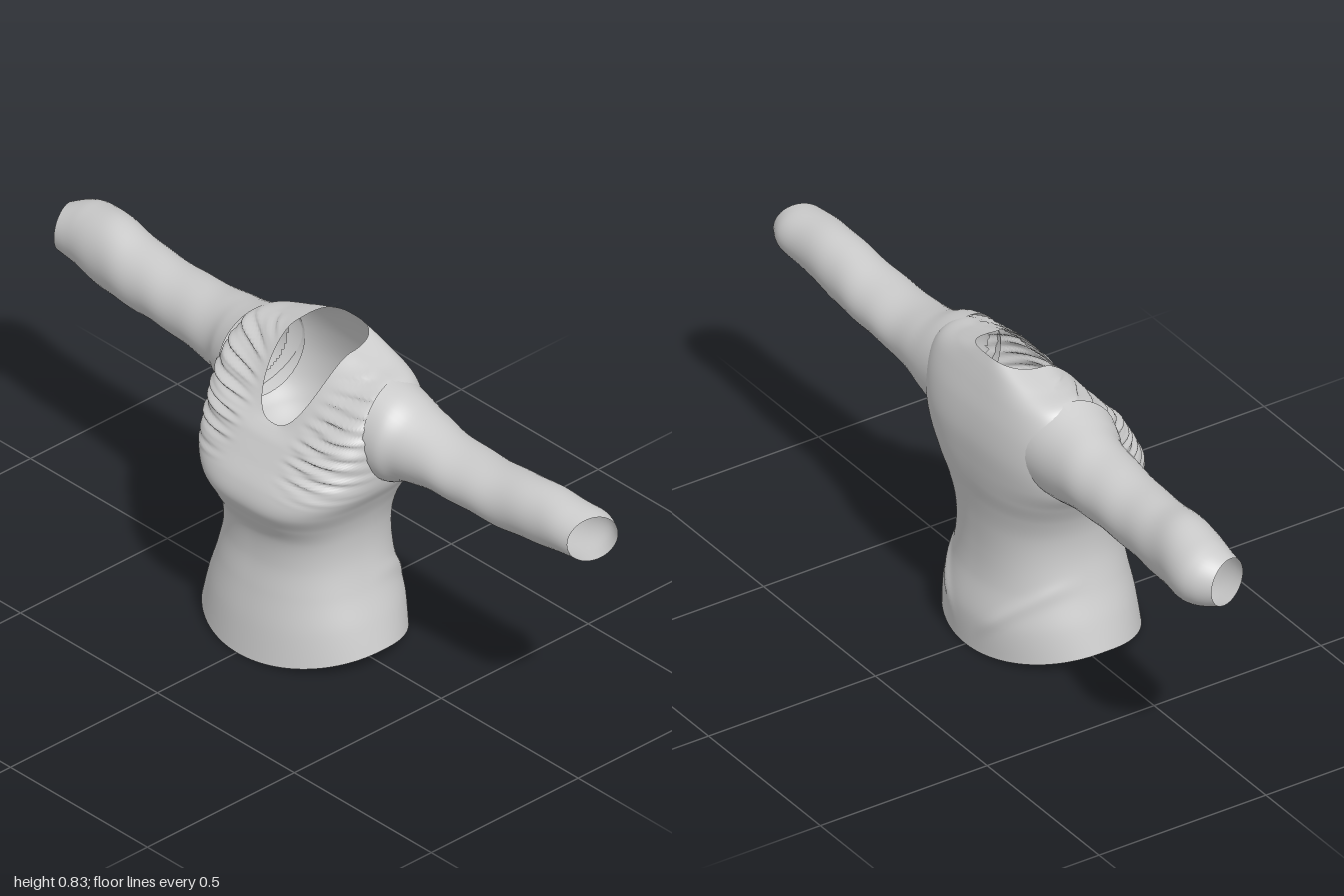
import * as THREE from 'three';

const cloth = new THREE.MeshStandardMaterial({ color: 0xcccccc, side: THREE.DoubleSide });

// Smoothly sample a table of rows at t in 0..1
function sample(rows, t) {
  const f = t * (rows.length - 1);
  const i = Math.min(Math.floor(f), rows.length - 2);
  const u = f - i;
  const at = k => rows[Math.max(0, Math.min(rows.length - 1, k))];
  return rows[i].map((b, k) => {
    const a = at(i - 1)[k], c = at(i + 1)[k], d = at(i + 2)[k];
    return b + 0.5 * u * (c - a + u * (2 * a - 5 * b + 4 * c - d + u * (3 * (b - c) + d - a)));
  });
}

// Open tube of closed rings; skip(centre) leaves a hole
function loft(name, rings, sides, point, skip = () => false) {
  const pts = [];
  for (let r = 0; r <= rings; r++)
    for (let s = 0; s < sides; s++) pts.push(point(r / rings, (s / sides) * Math.PI * 2));
  const index = [];
  const centre = new THREE.Vector3();
  for (let r = 0; r < rings; r++)
    for (let s = 0; s < sides; s++) {
      const a = r * sides + s, b = r * sides + (s + 1) % sides, c = a + sides, d = b + sides;
      centre.set(0, 0, 0);
      for (const k of [a, b, c, d]) centre.addScaledVector(pts[k], 0.25);
      if (!skip(centre)) index.push(a, c, b, b, c, d);
    }
  const geo = new THREE.BufferGeometry().setFromPoints(pts);
  geo.setIndex(index);
  geo.computeVertexNormals();
  const mesh = new THREE.Mesh(geo, cloth);
  mesh.name = name;
  return mesh;
}

const power = (v, p) => Math.sign(v) * Math.pow(Math.abs(v), p);
const smooth = THREE.MathUtils.smoothstep;

// Body rings: front y, front z, side y, side x, side z, back y, back z, squareness
const body = [
  [0.00, 0.23, 0.045, 0.287, 0.00, 0.00, -0.23, 2.0],
  [0.10, 0.215, 0.12, 0.262, 0.00, 0.10, -0.23, 2.1],
  [0.19, 0.196, 0.20, 0.232, 0.00, 0.20, -0.207, 2.2],
  [0.27, 0.181, 0.28, 0.212, 0.00, 0.28, -0.20, 2.3],
  [0.345, 0.184, 0.35, 0.210, 0.00, 0.36, -0.203, 2.4],
  [0.40, 0.208, 0.41, 0.222, -0.01, 0.43, -0.212, 2.6],
  [0.45, 0.228, 0.465, 0.246, -0.02, 0.49, -0.223, 2.8],
  [0.50, 0.216, 0.52, 0.275, -0.03, 0.55, -0.229, 2.8],
  [0.55, 0.182, 0.60, 0.285, -0.05, 0.62, -0.23, 2.8],
  [0.585, 0.157, 0.70, 0.284, -0.065, 0.69, -0.219, 2.8],
  [0.605, 0.142, 0.772, 0.255, -0.07, 0.75, -0.20, 2.8],
  [0.62, 0.125, 0.79, 0.18, -0.07, 0.80, -0.18, 2.7],
  [0.63, 0.11, 0.81, 0.10, -0.06, 0.83, -0.165, 2.6],
];

function bodyPoint(t, a) {
  const [fy, fz, sy, sx, sz, by, bz, n] = sample(body, t);
  const front = Math.sin(a) > 0;
  const e = 2 / (front ? n : n + 0.3 * smooth(t, 0.5, 0.7));
  const s = power(Math.abs(Math.sin(a)), e);
  const x = sx * power(Math.cos(a), e);
  const y = sy + ((front ? fy : by) - sy) * Math.pow(s, 1.6);
  let z = sz + ((front ? fz : bz) - sz) * s;
  const ax = Math.abs(x);
  // Gathers fanning from the armholes across the upper chest
  if (front) {
    const fade = smooth(ax, 0.07, 0.18) * smooth(y, 0.48, 0.58) * (1 - smooth(t, 0.93, 1));
    const fan = (y - 0.64) / (0.55 + 0.9 * ax);
    z += 0.006 * fade * (Math.sin(150 * fan + 12 * x) + 0.6 * Math.sin(245 * fan - 25 * ax));
  } else {
    // Slanting drag folds on the lower back
    const fold = Math.exp(-Math.pow((y - 0.02 - ax * 0.9) / 0.025, 2));
    z -= 0.007 * fold * smooth(ax, 0.03, 0.12) * (1 - smooth(ax, 0.2, 0.27));
  }
  return new THREE.Vector3(x + 0.003, y, z);
}

// Armholes are left open to the sleeves
const inArmhole = p => Math.abs(p.x) > 0.18 &&
  ((p.y - 0.655) / 0.115) ** 2 + ((p.z + 0.075) / 0.1) ** 2 < 1;

// Sleeve rings: x, top y, bottom y, back z, front z, forward slant of the ring
const leftSleeve = [
  [0.235, 0.783, 0.515, -0.198, 0.05, 0.025],
  [0.29, 0.768, 0.522, -0.19, 0.045, 0.012],
  [0.35, 0.742, 0.545, -0.178, 0.025, 0],
  [0.44, 0.718, 0.563, -0.17, 0.017, 0],
  [0.56, 0.712, 0.570, -0.167, 0.015, 0],
  [0.68, 0.724, 0.566, -0.16, 0.007, 0],
  [0.79, 0.739, 0.576, -0.154, 0.0, 0],
  [0.88, 0.737, 0.590, -0.153, 0.0, -0.008],
  [0.94, 0.733, 0.598, -0.155, -0.003, -0.016],
  [0.975, 0.728, 0.602, -0.137, -0.008, -0.024],
];
const rightSleeve = [
  [-0.235, 0.783, 0.515, -0.198, 0.05, -0.025],
  [-0.29, 0.766, 0.522, -0.192, 0.035, -0.012],
  [-0.35, 0.75, 0.540, -0.19, 0.015, 0],
  [-0.44, 0.735, 0.556, -0.189, 0.004, 0],
  [-0.58, 0.729, 0.561, -0.188, -0.008, 0],
  [-0.70, 0.738, 0.556, -0.191, -0.015, 0],
  [-0.81, 0.756, 0.555, -0.2, -0.025, 0],
  [-0.90, 0.745, 0.568, -0.214, -0.036, 0.006],
  [-0.945, 0.733, 0.578, -0.2, -0.04, 0.013],
  [-0.98, 0.718, 0.590, -0.163, -0.042, 0.02],
];

const sleeve = (name, rows) => loft(name, 60, 40, (t, a) => {
  const [x, top, bottom, back, front, slant] = sample(rows, t);
  const c = Math.cos(a), s = Math.sin(a);
  // Soft creases near the shoulder and elbow
  const crease = 1 + 0.012 * Math.sin(x * 42 + 2 * a) * Math.sin(Math.PI * t);
  return new THREE.Vector3(
    x + slant * c,
    (top + bottom) / 2 + (top - bottom) / 2 * s * crease,
    (front + back) / 2 + (front - back) / 2 * c * crease);
});

export function createModel() {
  const group = new THREE.Group();
  group.name = 'blouse';
  group.add(
    loft('bodice', 130, 160, bodyPoint, inArmhole),
    sleeve('leftSleeve', leftSleeve),
    sleeve('rightSleeve', rightSleeve),
  );
  return group;
}
